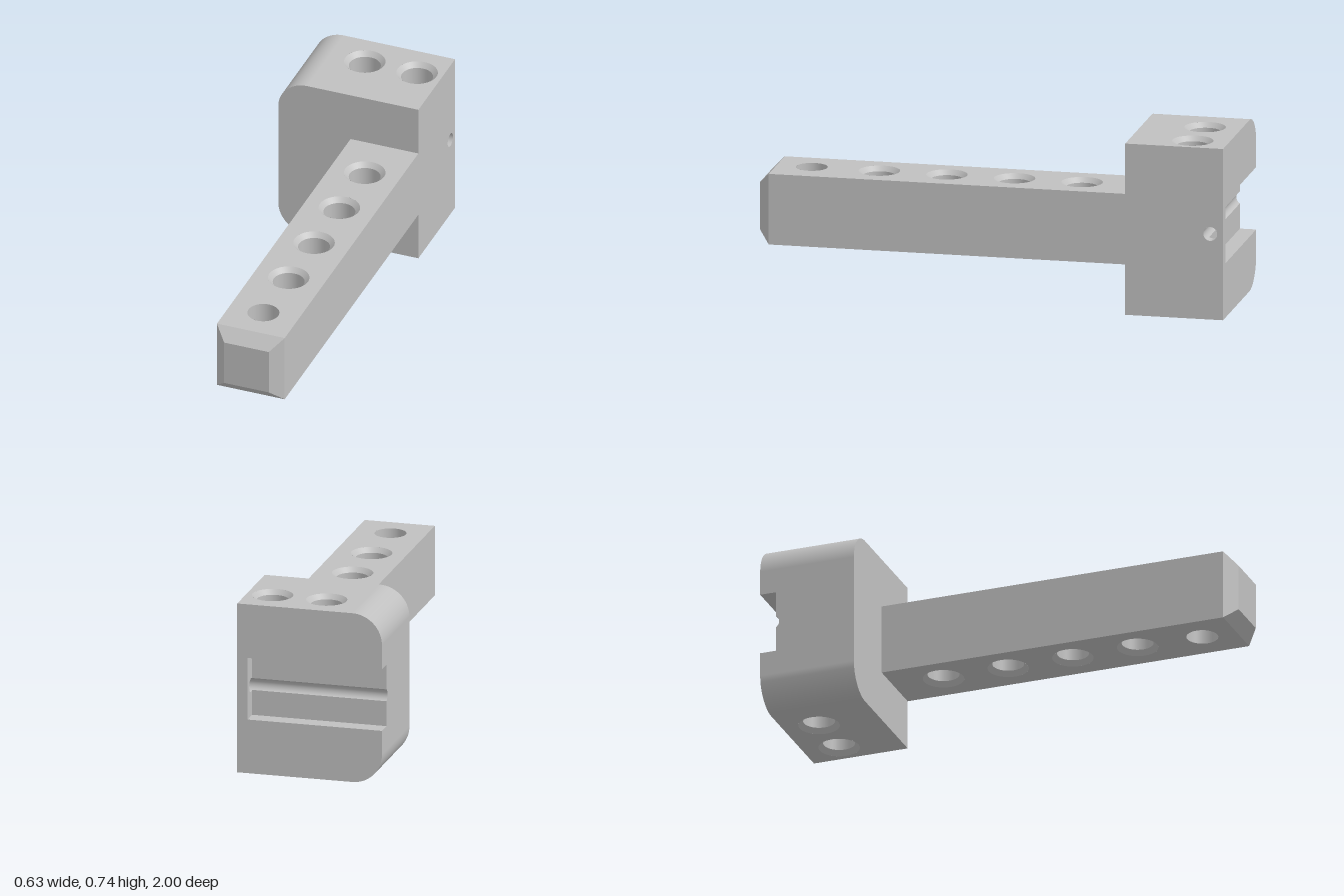
import * as THREE from 'three';

const X0 = -0.315, X1 = 0.315, TOP = 0.74, BACK = -1, FRONT = -0.58, ROUND = 0.13;
const ARM = { x0: 0.01, x1: X1, y0: 0.2175, y1: 0.5225, z1: 0.95 };
const SLOT = { x1: 0.27, y0: 0.235, y1: 0.505, z: -0.93 };
const PIN = { y: 0.37, z: -0.945, r: 0.03 };
const PIN_ANGLE = Math.acos((SLOT.z - PIN.z) / PIN.r);
const PIN_HALF = PIN.r * Math.sin(PIN_ANGLE);
const BORE = 0.067, SINK = 0.087, SINK_DEPTH = 0.02;

const steel = new THREE.MeshStandardMaterial({ color: 0xc0c0c0, side: THREE.DoubleSide });
steel.name = 'grey metal';

function add(group, name, geometry) {
  const mesh = new THREE.Mesh(geometry, steel);
  mesh.name = name;
  group.add(mesh);
  return mesh;
}

function polygon(points) {
  return new THREE.Shape(points.map(([a, b]) => new THREE.Vector2(a, b)));
}

function rect(a0, b0, a1, b1) {
  return polygon([[a0, b0], [a1, b0], [a1, b1], [a0, b1]]);
}

function punch(shape, a, b, r) {
  shape.holes.push(new THREE.Path().absarc(a, b, r, 0, Math.PI * 2, true));
}

// Flat face across one axis: x takes (z, y), y takes (x, z), z takes (x, y)
function plate(group, name, shape, axis, at, sign) {
  const X = new THREE.Vector3(1, 0, 0), Y = new THREE.Vector3(0, 1, 0), Z = new THREE.Vector3(0, 0, 1);
  const [u, v, n] = { x: [Z, Y, X], y: [X, Z, Y], z: [X, Y, Z] }[axis];
  const origin = n.clone().multiplyScalar(at);
  const matrix = new THREE.Matrix4().makeBasis(u, v, n.clone().multiplyScalar(sign)).setPosition(origin);
  const geometry = new THREE.ShapeGeometry(shape, 24).applyMatrix4(matrix);
  if (matrix.determinant() < 0) geometry.setIndex(Array.from(geometry.index.array).reverse());
  return add(group, name, geometry);
}

// Turned surface from (r0, y0) to (r1, y1); descending y faces inward
function turned(r0, y0, r1, y1, start = 0, length = Math.PI * 2) {
  const points = [new THREE.Vector2(r0, y0), new THREE.Vector2(r1, y1)];
  return new THREE.LatheGeometry(points, 40, start, length);
}

// Wall of a vertical through hole, with optional countersinks at both ends
function bore(group, x, z, y0, y1, sunk) {
  const d = sunk ? SINK_DEPTH : 0;
  const hole = new THREE.Group();
  hole.name = 'bolt hole';
  hole.position.set(x, 0, z);
  add(hole, 'hole wall', turned(BORE, y1 - d, BORE, y0 + d));
  if (sunk) {
    add(hole, 'upper countersink', turned(SINK, y1, BORE, y1 - d));
    add(hole, 'lower countersink', turned(BORE, y0 + d, SINK, y0));
  }
  group.add(hole);
}

// Head outline with two rounded corners, and a notch in its right or left edge
function headOutline(rightNotch, leftNotch) {
  const s = new THREE.Shape();
  s.moveTo(X1, 0);
  rightNotch.forEach(([x, y]) => s.lineTo(x, y));
  s.lineTo(X1, TOP);
  s.lineTo(X0 + ROUND, TOP);
  s.absarc(X0 + ROUND, TOP - ROUND, ROUND, Math.PI / 2, Math.PI, false);
  leftNotch.forEach(([x, y]) => s.lineTo(x, y));
  s.lineTo(X0, ROUND);
  s.absarc(X0 + ROUND, ROUND, ROUND, Math.PI, Math.PI * 1.5, false);
  return s;
}

function buildHead() {
  const head = new THREE.Group();
  head.name = 'head';

  // Front and back faces
  const armNotch = [[X1, ARM.y0], [ARM.x0, ARM.y0], [ARM.x0, ARM.y1], [X1, ARM.y1]];
  const slotNotch = [[X0, SLOT.y1], [SLOT.x1, SLOT.y1], [SLOT.x1, SLOT.y0], [X0, SLOT.y0]];
  plate(head, 'head front', headOutline(armNotch, []), 'z', FRONT, 1);
  plate(head, 'head back', headOutline([], slotNotch), 'z', BACK, -1);

  // Top and bottom faces with two bolt holes
  const boltX = [-0.03, 0.205], boltZ = -0.845;
  for (const [name, y, sign] of [['head top', TOP, 1], ['head bottom', 0, -1]]) {
    const face = rect(X0 + ROUND, BACK, X1, FRONT);
    boltX.forEach((x) => punch(face, x, boltZ, SINK));
    plate(head, name, face, 'y', y, sign);
  }
  boltX.forEach((x) => bore(head, x, boltZ, 0, TOP, true));

  // Rounded edges
  for (const [name, y, start] of [['upper round', TOP - ROUND, Math.PI], ['lower round', ROUND, Math.PI * 1.5]]) {
    const edge = turned(ROUND, BACK, ROUND, FRONT, start, Math.PI / 2).rotateX(Math.PI / 2);
    add(head, name, edge).position.set(X0 + ROUND, y, 0);
  }

  // Left wall with the pin hole
  const wall = rect(BACK, 0, FRONT, TOP);
  punch(wall, PIN.z, PIN.y, PIN.r);
  plate(head, 'pin side wall', wall, 'x', X1, 1);

  // Right wall, cut by the slot and groove
  const open = polygon([[FRONT, ROUND], [FRONT, TOP - ROUND], [BACK, TOP - ROUND],
    [BACK, SLOT.y1], [SLOT.z, SLOT.y1], [SLOT.z, PIN.y + PIN_HALF]]);
  open.absarc(PIN.z, PIN.y, PIN.r, PIN_ANGLE, -PIN_ANGLE, true);
  open.lineTo(SLOT.z, SLOT.y0);
  open.lineTo(BACK, SLOT.y0);
  open.lineTo(BACK, ROUND);
  plate(head, 'slot side wall', open, 'x', X0, -1);

  // Slot walls and floor
  plate(head, 'slot ceiling', rect(X0, BACK, SLOT.x1, SLOT.z), 'y', SLOT.y1, -1);
  plate(head, 'slot sill', rect(X0, BACK, SLOT.x1, SLOT.z), 'y', SLOT.y0, 1);
  plate(head, 'slot floor lower', rect(X0, SLOT.y0, SLOT.x1, PIN.y - PIN_HALF), 'z', SLOT.z, -1);
  plate(head, 'slot floor upper', rect(X0, PIN.y + PIN_HALF, SLOT.x1, SLOT.y1), 'z', SLOT.z, -1);
  const end = polygon([[BACK, SLOT.y0], [SLOT.z, SLOT.y0], [SLOT.z, PIN.y - PIN_HALF]]);
  end.absarc(PIN.z, PIN.y, PIN.r, -PIN_ANGLE, PIN_ANGLE, true);
  end.lineTo(SLOT.z, SLOT.y1);
  end.lineTo(BACK, SLOT.y1);
  plate(head, 'slot end', end, 'x', SLOT.x1, -1);

  // Pin groove along the slot floor and pin hole through the wall
  const groove = turned(PIN.r, SLOT.x1, PIN.r, X0, -PIN_ANGLE, PIN_ANGLE * 2).rotateZ(-Math.PI / 2);
  const pinHole = turned(PIN.r, X1, PIN.r, SLOT.x1).rotateZ(-Math.PI / 2);
  add(head, 'pin groove', groove).position.set(0, PIN.y, PIN.z);
  add(head, 'pin hole', pinHole).position.set(0, PIN.y, PIN.z);
  return head;
}

function buildArm() {
  const arm = new THREE.Group();
  arm.name = 'arm';
  const cx = 0.16, holes = [-0.36, -0.07, 0.22, 0.51, 0.8];

  // Top and bottom faces; the last hole has no countersink
  const sunk = (i) => i < holes.length - 1;
  for (const [name, y, sign] of [['arm top', ARM.y1, 1], ['arm bottom', ARM.y0, -1]]) {
    const face = rect(ARM.x0, FRONT, ARM.x1, ARM.z1);
    holes.forEach((z, i) => punch(face, cx, z, sunk(i) ? SINK : BORE));
    plate(arm, name, face, 'y', y, sign);
  }
  holes.forEach((z, i) => bore(arm, cx, z, ARM.y0, ARM.y1, sunk(i)));

  // Sides
  const side = rect(FRONT, ARM.y0, ARM.z1, ARM.y1);
  plate(arm, 'arm left side', side, 'x', ARM.x1, 1);
  plate(arm, 'arm right side', side, 'x', ARM.x0, -1);

  // Chamfered tip
  const half = (ARM.x1 - ARM.x0) / 2, depth = 1 - ARM.z1;
  const tip = new THREE.CylinderGeometry((half - 0.052) * Math.SQRT2, half * Math.SQRT2, depth, 4)
    .rotateY(Math.PI / 4).rotateX(Math.PI / 2).toNonIndexed();
  tip.computeVertexNormals();
  add(arm, 'chamfered tip', tip).position.set(ARM.x0 + half, ARM.y0 + half, ARM.z1 + depth / 2);
  return arm;
}

export function createModel() {
  const model = new THREE.Group();
  model.name = 'drilled bracket';
  model.add(buildHead(), buildArm());
  return model;
}
